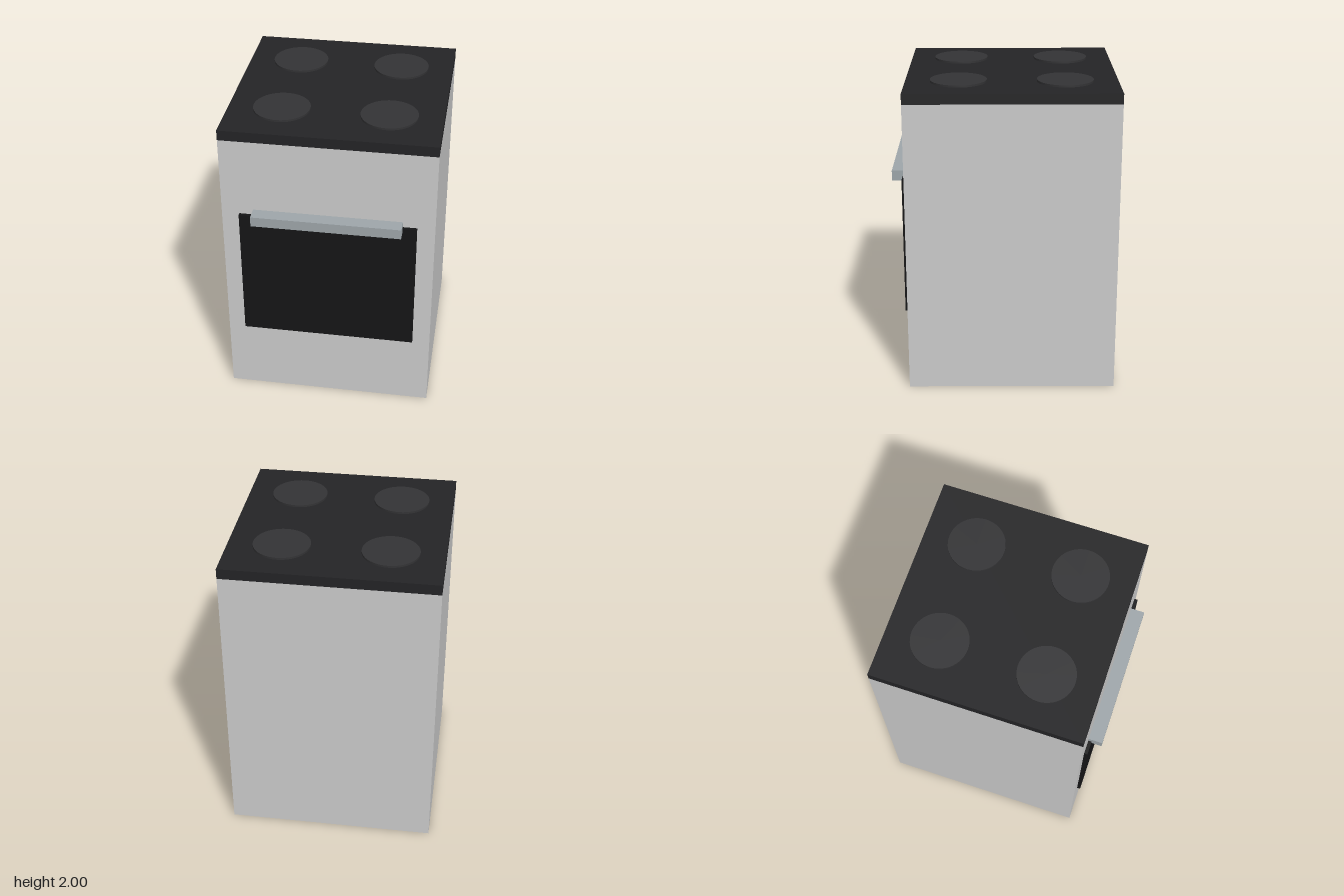
import * as THREE from 'three';

export function createModel() {
  const stove = new THREE.Group();
  stove.name = 'stove';

  const enamel = new THREE.MeshStandardMaterial({ color: 0xcccccc });
  const steel = new THREE.MeshStandardMaterial({ color: 0x9ea6aa });
  const glass = new THREE.MeshStandardMaterial({ color: 0x151516 });
  const hob = new THREE.MeshStandardMaterial({ color: 0x242426 });
  const plate = new THREE.MeshStandardMaterial({ color: 0x333335 });

  // Box centred on x, given its width and its y and z extents
  function addBox(name, material, width, y0, y1, z0, z1) {
    const mesh = new THREE.Mesh(new THREE.BoxGeometry(width, y1 - y0, z1 - z0), material);
    mesh.position.set(0, (y0 + y1) / 2, (z0 + z1) / 2);
    mesh.name = name;
    stove.add(mesh);
  }

  const back = -0.72, front = 0.63, width = 1.35;
  addBox('body', enamel, width, 0, 1.92, back, front);
  addBox('cooktop', hob, width, 1.92, 1.987, back, front);
  addBox('ovenDoor', glass, 1.125, 0.5, 1.4, front, 0.652);
  addBox('doorHandle', steel, 0.945, 1.37, 1.436, front, 0.72);

  // Four round hot plates, slightly proud of the cooktop
  const plateGeometry = new THREE.CylinderGeometry(0.18, 0.18, 0.02, 48);
  const middle = (back + front) / 2;
  for (const sx of [-1, 1]) {
    for (const sz of [-1, 1]) {
      const mesh = new THREE.Mesh(plateGeometry, plate);
      mesh.position.set(sx * 0.3375, 1.99, middle + sz * 0.3375);
      mesh.name = (sz > 0 ? 'front' : 'back') + (sx > 0 ? 'Left' : 'Right') + 'HotPlate';
      stove.add(mesh);
    }
  }

  return stove;
}
